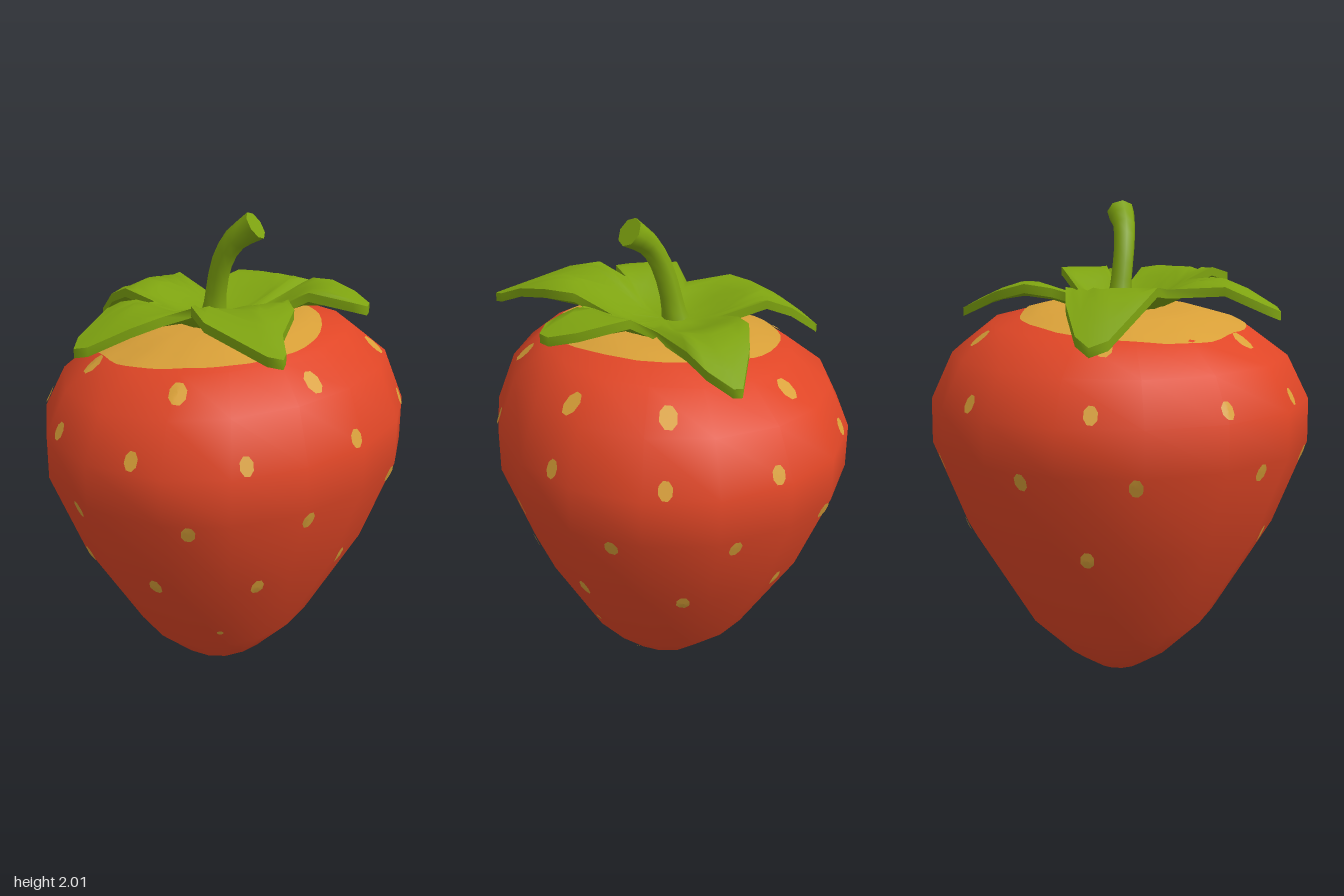
import * as THREE from 'three';

const V = (x, y, z) => new THREE.Vector3(x, y, z);
const mat = (name, color) => {
  const m = new THREE.MeshStandardMaterial({ color });
  m.name = name;
  return m;
};

// Smooth skin over closed rings of points, counter-clockwise seen from the last ring
function loft(rings) {
  const n = rings[0].length, pos = [], idx = [];
  rings.forEach((ring) => ring.forEach((p) => pos.push(p.x, p.y, p.z)));
  for (let i = 0; i < rings.length - 1; i++) {
    for (let j = 0; j < n; j++) {
      const a = i * n + j, b = i * n + ((j + 1) % n);
      idx.push(a, b, a + n, b, b + n, a + n);
    }
  }
  const g = new THREE.BufferGeometry();
  g.setAttribute('position', new THREE.Float32BufferAttribute(pos, 3));
  g.setIndex(idx);
  g.computeVertexNormals();
  return g;
}

// Fruit cross-section at its widest (x, z) and its rings (scale, height)
const OUTLINE = [
  [0, 0.765], [0.24, 0.7], [0.47, 0.52], [0.63, 0.28], [0.715, 0], [0.7, -0.27], [0.57, -0.51], [0.36, -0.69],
  [0.08, -0.77], [-0.17, -0.75], [-0.42, -0.62], [-0.62, -0.4], [-0.72, -0.1], [-0.7, 0.22], [-0.55, 0.52], [-0.3, 0.72],
];
const RINGS = [
  [0, 0], [0.14, 0.03], [0.29, 0.11], [0.52, 0.29], [0.83, 0.7], [1, 1.05],
  [0.995, 1.23], [0.88, 1.415], [0.68, 1.53], [0.42, 1.585], [0, 1.6],
];

// Pale patch around the crown (x, z)
const PATCH = [
  [0, 0.49], [0.2, 0.42], [0.36, 0.25], [0.4, 0.05], [0.33, -0.2], [0.2, -0.33], [0.05, -0.39],
  [-0.1, -0.42], [-0.35, -0.3], [-0.48, -0.08], [-0.48, 0.18], [-0.37, 0.35], [-0.22, 0.47],
];

// Seeds: height, half width, half height, angles in degrees from the front towards +x
const SEEDS = [
  [1.48, 0.034, 0.05, [1, 52, 105, 139, 187, 249, 314]],
  [1.27, 0.027, 0.038, [-72, -40, -9, 23, 63, 104, 138, 170, 206, 247]],
  [1.02, 0.027, 0.038, [-58, -28, 7, 43, 87, 123, 157, 190, 226, 260]],
  [0.71, 0.027, 0.04, [-41, -7, 29, 70, 108, 144, 180, 244]],
  [0.41, 0.014, 0.014, [15, 99]],
  [0.18, 0.012, 0.014, [113]],
];

// Crown leaves: peak height, tip height, outline (x, z) from one notch up to the next
const LEAVES = [
  [1.69, 1.5, [[-0.13, -0.19], [-0.28, -0.28], [-0.4, -0.305], [-0.55, -0.305], [-0.61, -0.27], [-0.61, -0.2], [-0.5, -0.05], [-0.4, 0.04]]],
  [1.71, 1.59, [[-0.24, 0.13], [-0.36, 0.32], [-0.41, 0.47], [-0.4, 0.535], [-0.34, 0.545], [-0.2, 0.48], [-0.1, 0.42]]],
  [1.745, 1.66, [[-0.04, 0.28], [0, 0.4], [0.08, 0.5], [0.33, 0.6], [0.385, 0.6], [0.385, 0.56], [0.35, 0.47], [0.35, 0.3], [0.3, 0.18]]],
  [1.74, 1.65, [[0.2, 0.08], [0.35, 0.055], [0.52, 0.06], [0.57, 0.03], [0.57, -0.02], [0.5, -0.1], [0.4, -0.16], [0.32, -0.17]]],
  [1.69, 1.57, [[0.15, -0.12], [0.26, -0.4], [0.26, -0.5], [0.23, -0.6], [0.2, -0.615], [0.05, -0.5], [-0.05, -0.4], [-0.1, -0.3]]],
];

export function createModel() {
  const model = new THREE.Group();
  model.name = 'strawberry';
  const red = mat('berry red', 0xe04626);
  const gold = mat('seed gold', 0xd9a038);
  const green = mat('leaf green', 0x7ea310);
  const add = (name, geo, material, parent = model) => {
    const m = new THREE.Mesh(geo, material);
    m.name = name;
    parent.add(m);
    return m;
  };
  const group = (name) => {
    const g = new THREE.Group();
    g.name = name;
    model.add(g);
    return g;
  };

  // Fruit, with its top tilted slightly down towards -x
  const fruit = add('fruit', loft(RINGS.map(([s, y]) => OUTLINE.map(([x, z]) => {
    const tilt = 0.07 * THREE.MathUtils.clamp((y - 1.2) / 0.35, 0, 1);
    return V(x * s, y + tilt * x * s, z * s);
  }))), red);

  // Drops a point onto the fruit along a direction
  const ray = new THREE.Raycaster();
  const drop = (from, dir) => {
    ray.set(from, dir);
    return ray.intersectObject(fruit)[0];
  };

  // Pale patch laid over the top
  const down = V(0, -1, 0);
  const rim = new THREE.CatmullRomCurve3(PATCH.map(([x, z]) => V(x, 0, z)), true).getPoints(48).slice(0, 48);
  add('crownPatch', loft([1, 0.9, 0.8, 0.65, 0.5, 0.3, 0.02].map((t) => rim.map((p) => {
    const hit = drop(V(p.x * t, 3, p.z * t), down);
    return hit.point.add(V(0, 0.006, 0));
  }))), gold);

  // Seeds laid on the skin as thin ovals
  const seeds = group('seeds');
  for (const [y, w, h, angles] of SEEDS) {
    for (const deg of angles) {
      const a = THREE.MathUtils.degToRad(deg);
      const out = V(Math.sin(a), 0, Math.cos(a));
      const hit = drop(out.clone().multiplyScalar(2).setY(y), out.clone().negate());
      if (!hit) continue;
      const n = hit.face.normal.clone();
      const side = V(0, 1, 0).cross(n).normalize();
      const up = n.clone().cross(side);
      const ring = (s) => Array.from({ length: 8 }, (_, k) => {
        const b = (k / 8) * Math.PI * 2 + 0.3;
        const p = hit.point.clone().addScaledVector(side, Math.cos(b) * w * s)
          .addScaledVector(up, Math.sin(b) * h * s);
        const q = drop(p.clone().addScaledVector(n, 0.2), n.clone().negate());
        return (q ? q.point : p).addScaledVector(n, 0.007);
      });
      add('seed', loft([ring(1), ring(0.5), ring(0)]), gold, seeds);
    }
  }

  // Leaf crown: one star sheet whose lobes arch up and droop at the tips
  const star = [];
  for (const [peak, tip, pts] of LEAVES) pts.forEach(([x, z]) => star.push({ x, z, peak, tip }));
  const height = (r, peak, tip) => {
    const ss = THREE.MathUtils.smoothstep;
    return r < 0.4
      ? 1.61 + (peak - 1.61) * ss(r, 0.1, 0.4)
      : peak + (tip - peak) * Math.pow(Math.min((r - 0.4) / 0.27, 1.1), 1.3);
  };
  const starRing = (t, lower) => star.map(({ x, z, peak, tip }) =>
    V(x * t, height(Math.hypot(x, z) * t, peak, tip) - lower, z * t));
  const steps = [1, 0.88, 0.75, 0.62, 0.5, 0.35, 0.2, 0];
  const thick = 0.035;
  const crown = group('leafCrown');
  add('leafTops', loft(steps.map((t) => starRing(t, 0))), green, crown);
  add('leafUndersides', loft([...steps].reverse().map((t) => starRing(t, thick))), green, crown);
  add('leafRims', loft([starRing(1, thick), starRing(1, 0)]), green, crown);

  // Curved stem, flared at both ends
  const path = new THREE.CatmullRomCurve3([
    V(-0.045, 1.58, -0.015), V(-0.03, 1.7, 0), V(0, 1.82, 0.02), V(0.055, 1.91, 0.035), V(0.137, 1.968, 0.042),
  ]);
  const radii = [0.06, 0.047, 0.043, 0.042, 0.042, 0.043, 0.046, 0.05, 0.057];
  const stemRing = (t, r) => {
    const c = path.getPoint(t), d = path.getTangent(t);
    const u = V(0, 0, 1).addScaledVector(d, -d.z).normalize();
    const v = d.clone().cross(u);
    return Array.from({ length: 8 }, (_, k) => {
      const a = (k / 8) * Math.PI * 2;
      return c.clone().addScaledVector(u, Math.cos(a) * r).addScaledVector(v, Math.sin(a) * r);
    });
  };
  const stem = group('stem');
  add('stemStalk', loft(radii.map((r, i) => stemRing(i / 8, r))), green, stem);
  add('stemEnd', loft([stemRing(1, 0.057), stemRing(1, 0)]), green, stem);

  return model;
}
